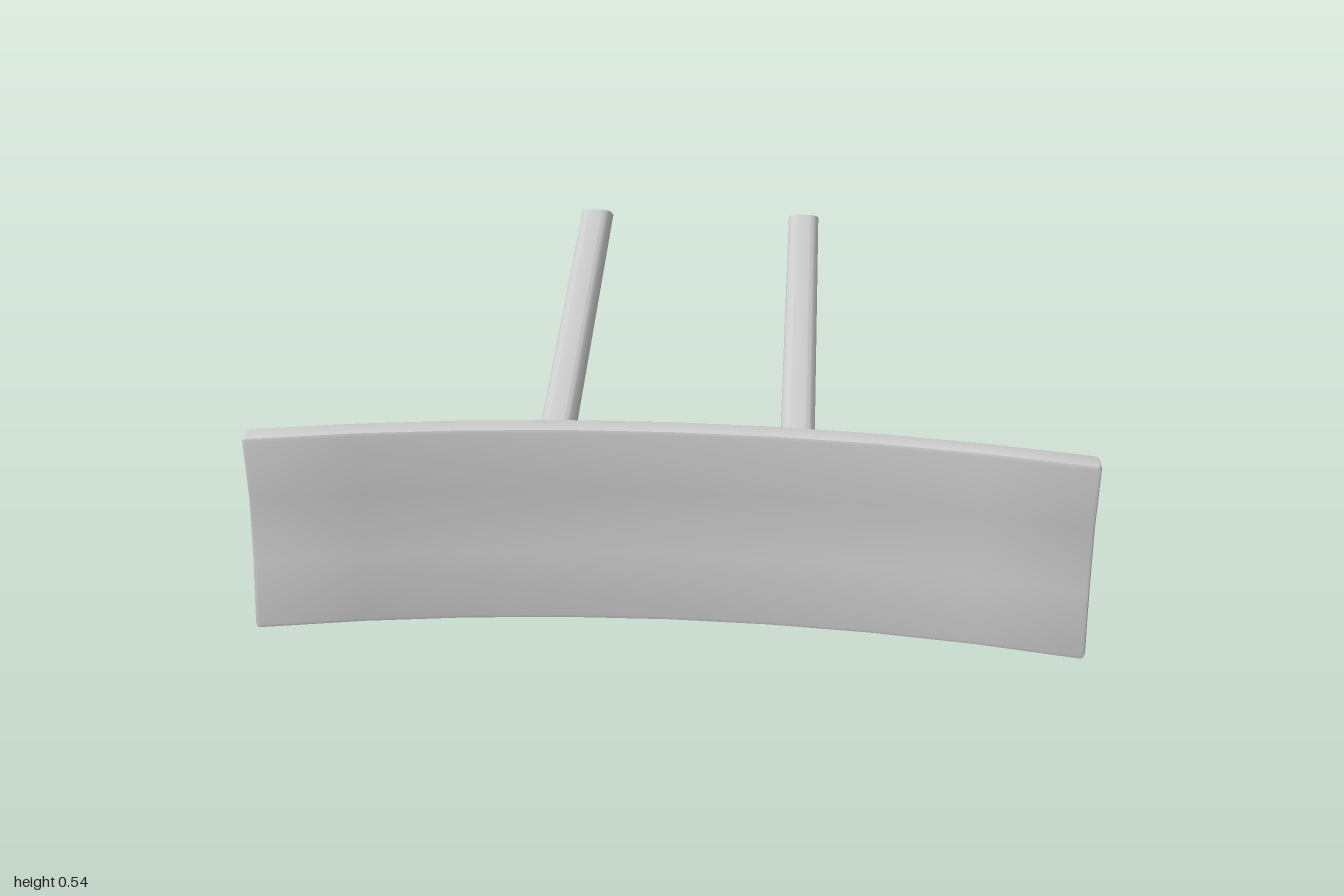
import * as THREE from 'three';
import { toCreasedNormals } from 'three/addons/utils/BufferGeometryUtils.js';

const material = new THREE.MeshStandardMaterial({ color: 0xcccccc });

// Spread grid lines 0..n over -half..half, keeping one line close to each edge
function gridLine(value, half, n, edge) {
  const i = Math.round((value / (2 * half) + 0.5) * n);
  if (i === 0) return -half;
  if (i === n) return half;
  return -half + edge + ((i - 1) / (n - 2)) * 2 * (half - edge);
}

// Forward sweep of the blade at a height
function sweep(y) {
  const heights = [0, 0.155, 0.33, 0.5];
  const offsets = [0.07, 0.029, 0, 0];
  const i = y < heights[1] ? 0 : y < heights[2] ? 1 : 2;
  const t = (y - heights[i]) / (heights[i + 1] - heights[i]);
  return THREE.MathUtils.lerp(offsets[i], offsets[i + 1], t);
}

// Box with softened edges, bowed across its width and curled at its foot
function createBlade() {
  const half = [1, 0.2475, 0.0275];
  const segments = [10, 5, 3];
  const radius = 0.012;
  const geometry = new THREE.BoxGeometry(...half.map((h) => 2 * h), ...segments);
  const pos = geometry.attributes.position;
  for (let i = 0; i < pos.count; i++) {
    const p = new THREE.Vector3(...[0, 1, 2].map((a) =>
      gridLine(pos.getComponent(i, a), half[a], segments[a], radius)));
    const inner = new THREE.Vector3(...[0, 1, 2].map((a) =>
      THREE.MathUtils.clamp(p.getComponent(a), radius - half[a], half[a] - radius)));
    p.sub(inner).setLength(radius).add(inner);
    p.y += half[1];
    p.z += 0.5525 + 0.1 * p.x * p.x + sweep(p.y);
    pos.setXYZ(i, p.x, p.y, p.z);
  }
  const mesh = new THREE.Mesh(toCreasedNormals(geometry, 0.6), material);
  mesh.name = 'blade';
  return mesh;
}

// Rounded bar rising to the rear, with a slanted cut at its rear end
function createArm(x, name) {
  const w = 0.043, h = 0.045, r = 0.03;
  const shape = new THREE.Shape();
  shape.absarc(w - r, h - r, r, 0, Math.PI / 2);
  shape.absarc(r - w, h - r, r, Math.PI / 2, Math.PI);
  shape.absarc(r - w, r - h, r, Math.PI, Math.PI * 1.5);
  shape.absarc(w - r, r - h, r, Math.PI * 1.5, Math.PI * 2);
  const geometry = new THREE.ExtrudeGeometry(shape, { depth: 1, bevelEnabled: false, curveSegments: 5 });
  const pos = geometry.attributes.position;
  for (let i = 0; i < pos.count; i++) {
    const v = pos.getY(i);
    const z = pos.getZ(i) > 0.5 ? 0.56 : -0.698 + 1.25 * v;
    pos.setXYZ(i, pos.getX(i), 0.295 + v + 0.167 * (0.54 - z), z);
  }
  const mesh = new THREE.Mesh(toCreasedNormals(geometry, 0.6), material);
  mesh.position.x = x;
  mesh.name = name;
  return mesh;
}

export function createModel() {
  const model = new THREE.Group();
  model.name = 'plowBlade';
  model.add(createBlade(), createArm(0.303, 'leftArm'), createArm(-0.303, 'rightArm'));
  return model;
}
